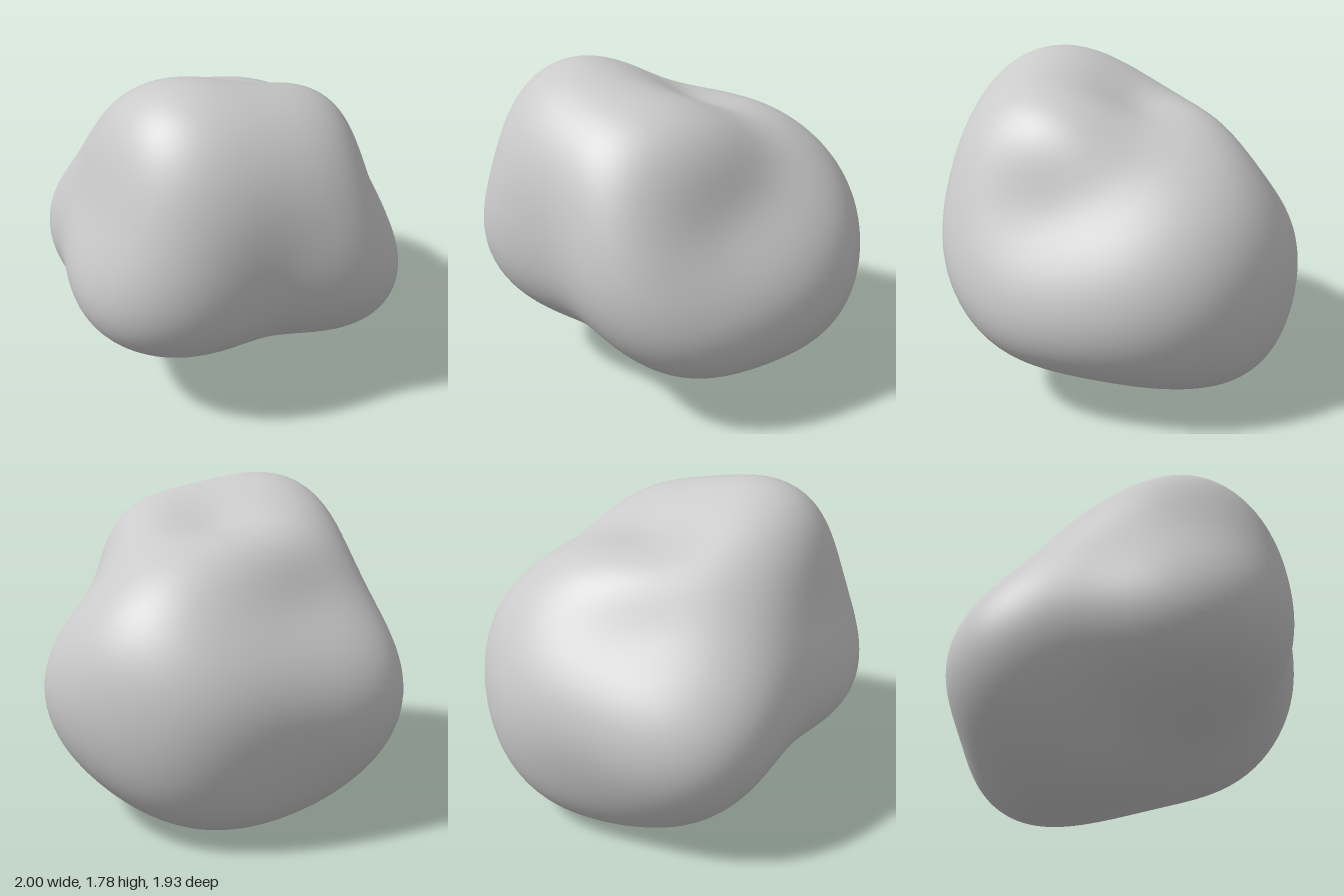
import * as THREE from 'three';
import { mergeVertices } from 'three/addons/utils/BufferGeometryUtils.js';

const CENTRE = new THREE.Vector3(0, 0.85, 0);

// Landmarks (x, y, z) on the boulder: bumps, shoulders and hollows
const LANDMARKS = [
  // top: front ridge, shallow bowl behind it, rear rim
  [-0.47, 1.76, 0.32], [-0.05, 1.71, 0.36], [0.28, 1.63, 0.4], [-0.42, 1.68, -0.03], [-0.71, 1.61, 0.2],
  [0.07, 1.52, -0.12], [0.02, 1.49, -0.42], [-0.4, 1.44, -0.4],
  [0.4, 1.49, -0.08], [0.48, 1.33, -0.55], [0.54, 1.42, 0.24],
  // front
  [0.2, 0.97, 0.96], [-0.15, 1.0, 0.88], [0.12, 1.4, 0.82], [-0.4, 1.3, 0.81], [-0.35, 1.63, 0.63],
  [-0.45, 0.8, 0.83], [0.05, 0.4, 0.66], [-0.45, 0.44, 0.63], [0.62, 0.72, 0.77], [0.5, 1.15, 0.64],
  // left side
  [1, 0.66, -0.12], [0.87, 1.09, -0.2], [0.9, 0.37, -0.2], [0.8, 0.75, 0.5], [0.92, 0.75, -0.45],
  [0.71, 1.23, 0], [0.53, 0.36, 0.67],
  // right side
  [-1, 0.77, 0.2], [-0.88, 0.49, 0.25], [-0.85, 1.24, 0.15], [-0.8, 0.8, 0.69], [-0.87, 0.85, -0.3],
  [-0.77, 0.76, -0.67], [-0.72, 1.25, -0.3],
  // back
  [0.12, 0.76, -0.96], [-0.45, 0.76, -0.92], [0.5, 0.75, -0.88], [0.1, 1.12, -0.78], [-0.4, 1.12, -0.68],
  [0.1, 0.43, -0.91],
  // underside
  [0.2, 0, -0.45], [0.6, 0.11, -0.4], [-0.2, 0.1, -0.68], [-0.55, 0.2, -0.48], [0.25, 0.08, -0.71],
  [0.28, 0.11, 0.08], [-0.38, 0.26, 0.3], [-0.7, 0.38, -0.05], [0.45, 0.23, 0.43],
].map((p) => new THREE.Vector3(...p).sub(CENTRE));

const BASE_RADIUS = 0.95;
const kernel = (a, b) => Math.exp(5.5 * (a.dot(b) - 1));

// Solve a small linear system by elimination with pivoting
function solve(rows) {
  const n = rows.length;
  for (let i = 0; i < n; i++) {
    let pivot = i;
    for (let r = i + 1; r < n; r++) if (Math.abs(rows[r][i]) > Math.abs(rows[pivot][i])) pivot = r;
    [rows[i], rows[pivot]] = [rows[pivot], rows[i]];
    for (let r = 0; r < n; r++) {
      if (r === i) continue;
      const f = rows[r][i] / rows[i][i];
      for (let c = i; c <= n; c++) rows[r][c] -= f * rows[i][c];
    }
  }
  return rows.map((row, i) => row[n] / row[i]);
}

// Smooth radius over all directions, fitted to the landmarks
function makeRadius() {
  const dirs = LANDMARKS.map((p) => p.clone().normalize());
  const weights = solve(dirs.map((a, i) => [
    ...dirs.map((b, j) => kernel(a, b) + (i === j ? 0.01 : 0)),
    LANDMARKS[i].length() - BASE_RADIUS,
  ]));
  return (d) => dirs.reduce((sum, b, i) => sum + weights[i] * kernel(d, b), BASE_RADIUS);
}

export function createModel() {
  const group = new THREE.Group();
  group.name = 'boulder';

  // Sphere pushed in and out along its radii
  let geometry = new THREE.SphereGeometry(1, 112, 72);
  geometry.deleteAttribute('uv');
  geometry.deleteAttribute('normal');
  geometry = mergeVertices(geometry, 1e-4);
  const radius = makeRadius();
  const pos = geometry.attributes.position;
  const v = new THREE.Vector3();
  for (let i = 0; i < pos.count; i++) {
    v.fromBufferAttribute(pos, i).normalize();
    v.multiplyScalar(radius(v)).add(CENTRE);
    pos.setXYZ(i, v.x, v.y, v.z);
  }

  // Stand it on the ground
  geometry.computeBoundingBox();
  geometry.translate(0, -geometry.boundingBox.min.y, 0);
  geometry.computeVertexNormals();

  const stone = new THREE.MeshStandardMaterial({ color: 0xcacaca });
  stone.name = 'grey stone';
  const rock = new THREE.Mesh(geometry, stone);
  rock.name = 'rock';
  group.add(rock);
  return group;
}
